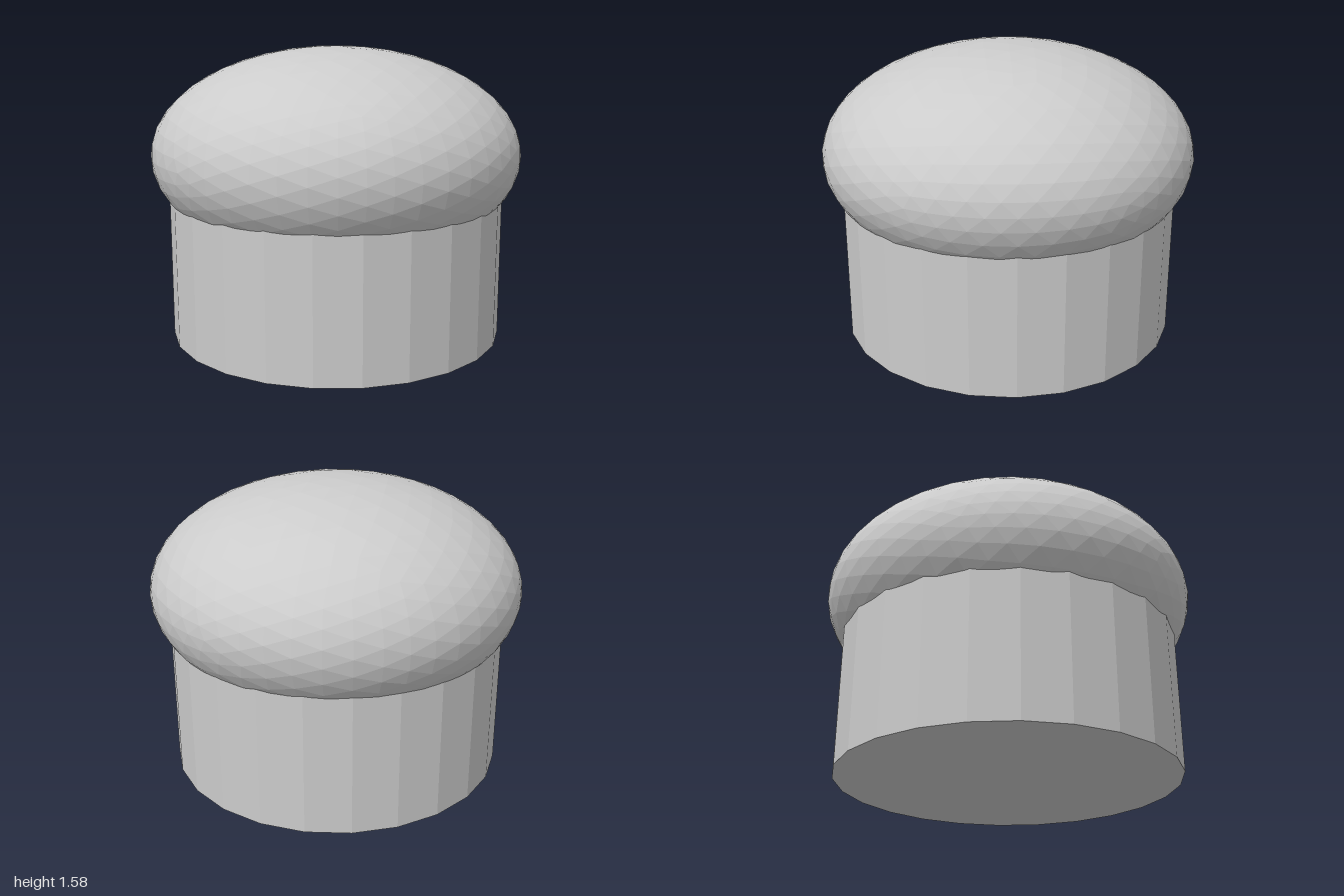
import * as THREE from 'three';

export function createModel() {
  const group = new THREE.Group();
  group.name = 'domedButton';
  const material = new THREE.MeshStandardMaterial({ color: 0xcccccc, flatShading: true });

  // Faceted 24-sided base standing on the ground, its top hidden in the dome
  const baseHeight = 1;
  const base = new THREE.Mesh(new THREE.CylinderGeometry(0.908, 0.908, baseHeight, 24), material);
  base.name = 'base';
  base.position.y = baseHeight / 2;
  group.add(base);

  // Flattened faceted sphere overhanging the base
  const domeGeometry = new THREE.IcosahedronGeometry(1, 7);
  domeGeometry.scale(1, 0.575, 1);
  domeGeometry.computeVertexNormals();
  const dome = new THREE.Mesh(domeGeometry, material);
  dome.name = 'dome';
  dome.position.y = 1;
  group.add(dome);

  return group;
}
